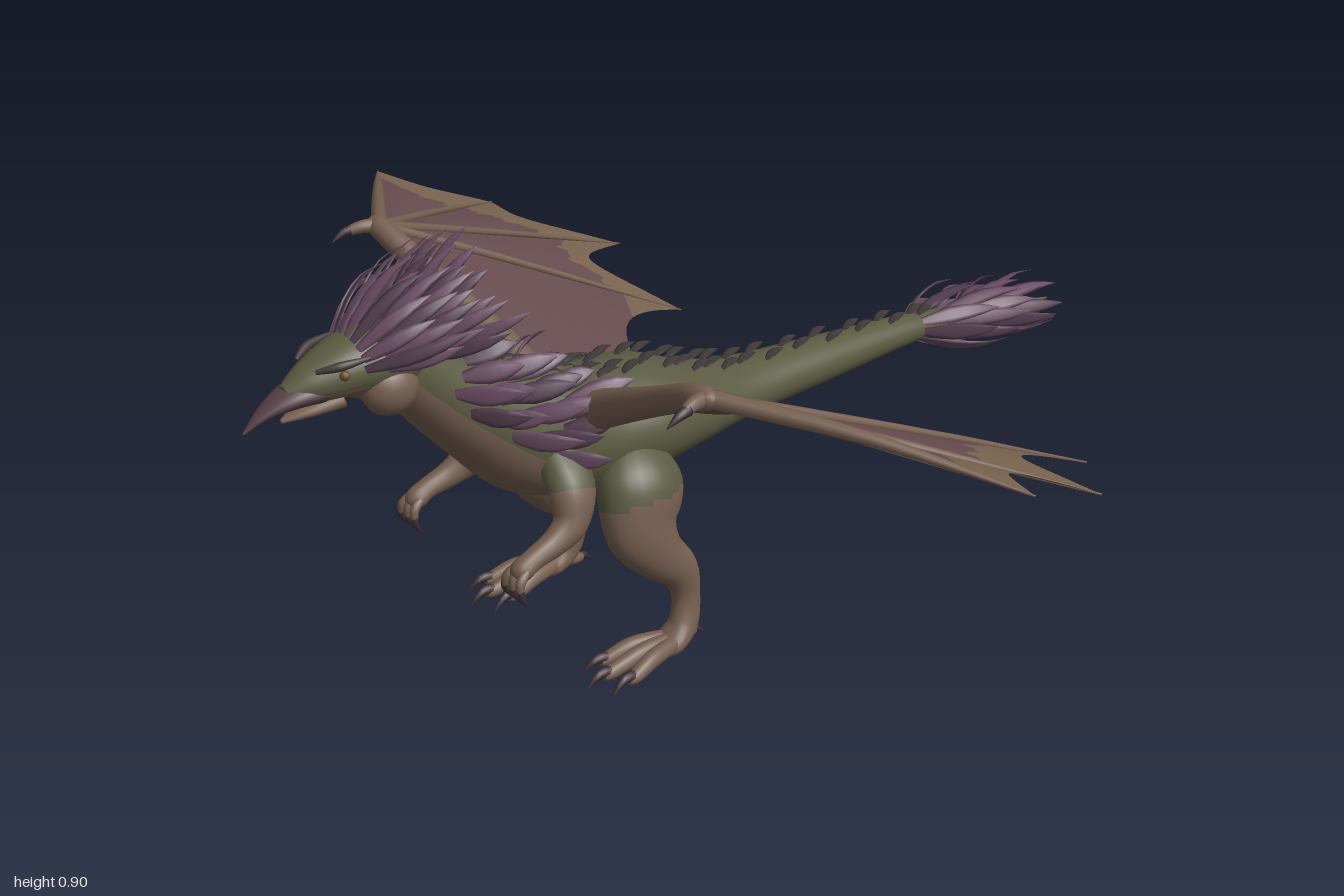
import * as THREE from 'three';
import { mergeGeometries } from 'three/addons/utils/BufferGeometryUtils.js';

const V = (x, y, z) => new THREE.Vector3(x, y, z);
const X = V(1, 0, 0), Z = V(0, 0, 1);
const mat = (name, color, side = THREE.FrontSide) => {
  const m = new THREE.MeshStandardMaterial({ color, side });
  m.name = name;
  return m;
};

// Smooth sample of a station list [x, y, z, halfWidth, halfDepth]
function sample(st, u) {
  const n = st.length - 1, f = Math.min(Math.max(u, 0), 1) * n;
  const i = Math.min(Math.floor(f), n - 1), t = f - i;
  const [p, q, r, s] = [st[Math.max(i - 1, 0)], st[i], st[i + 1], st[Math.min(i + 2, n)]];
  return q.map((b, k) => b + 0.5 * t * (r[k] - p[k] + t * (2 * p[k] - 5 * b + 4 * r[k] - s[k]
    + t * (3 * (b - r[k]) + s[k] - p[k]))));
}

// Centre, radii and axes of the cross-section at u
function frame(st, u, ref) {
  const s = sample(st, u), a = sample(st, u - 0.01), b = sample(st, u + 0.01);
  const t = V(b[0] - a[0], b[1] - a[1], b[2] - a[2]).normalize();
  const n1 = ref.clone().addScaledVector(t, -ref.dot(t)).normalize();
  return { c: V(s[0], s[1], s[2]), a: Math.max(s[3], 0.0006), b: Math.max(s[4] ?? s[3], 0.0006), t, n1, n2: t.clone().cross(n1) };
}
const onSkin = (f, ang, k = 1) => f.c.clone()
  .addScaledVector(f.n1, f.a * k * Math.cos(ang)).addScaledVector(f.n2, f.b * k * Math.sin(ang));

// Elliptical loft; pick(u, sin) selects the material group of a face
function loft(st, { ref = X, seg = 24, rad = 14, pick } = {}) {
  const pos = [], faces = [[], []];
  for (let i = 0; i <= seg; i++) {
    const f = frame(st, i / seg, ref);
    for (let j = 0; j < rad; j++) pos.push(...onSkin(f, (j / rad) * Math.PI * 2).toArray());
  }
  for (let i = 0; i < seg; i++) for (let j = 0; j < rad; j++) {
    const k = (j + 1) % rad, a = i * rad + j, b = i * rad + k, c = b + rad, d = a + rad;
    const g = pick && pick((i + 0.5) / seg, Math.sin(((j + 0.5) / rad) * Math.PI * 2)) ? 1 : 0;
    faces[g].push(a, b, d, b, c, d);
  }
  for (const [e, flip] of [[0, 1], [seg, 0]]) for (let j = 1; j < rad - 1; j++) {
    const o = e * rad;
    faces[0].push(o, o + j + flip, o + j + 1 - flip);
  }
  const g = new THREE.BufferGeometry();
  g.setAttribute('position', new THREE.Float32BufferAttribute(pos, 3));
  g.setIndex([...faces[0], ...faces[1]]);
  if (pick) {
    g.addGroup(0, faces[0].length, 0);
    g.addGroup(faces[0].length, faces[1].length, 1);
  }
  g.computeVertexNormals();
  return g;
}

// Flat pointed blade for feathers and scales, lying across 'out'
function blade(base, dir, out, len, width, lift = 0.1) {
  const d = dir.clone().normalize();
  const st = [[0, 0, 0.4], [0.35, lift, 1], [0.7, lift, 0.7], [1, 0, 0.02]].map(([k, l, w]) => {
    const p = base.clone().addScaledVector(d, len * k).addScaledVector(out, len * l);
    return [p.x, p.y, p.z, width * w, width * w * 0.18];
  });
  return loft(st, { ref: d.clone().cross(out).normalize(), seg: 6, rad: 6 });
}

// Membrane strip between two edges, over u from u0(v) to u1(v)
function panel(A0, A1, T0, T1, dip, u0, u1) {
  const pos = [], idx = [], N = 20, M = 8;
  for (let i = 0; i <= N; i++) for (let j = 0; j <= M; j++) {
    const v = i / N, u = THREE.MathUtils.lerp(u0(v), u1(v), j / M) * (1 - dip * Math.sin(Math.PI * v));
    const p = A0.clone().lerp(A1, v).lerp(T0.clone().lerp(T1, v), u);
    p.y += 0.015 * Math.sin(Math.PI * v) * u;
    pos.push(p.x, p.y, p.z);
    if (i < N && j < M) {
      const a = i * (M + 1) + j, b = a + M + 1;
      idx.push(a, a + 1, b, b, a + 1, b + 1);
    }
  }
  const g = new THREE.BufferGeometry();
  g.setAttribute('position', new THREE.Float32BufferAttribute(pos, 3));
  g.setIndex(idx);
  g.computeVertexNormals();
  return g;
}

export function createModel() {
  const root = new THREE.Group();
  root.name = 'wingedCreature';
  const green = mat('oliveHide', 0x5b5a41), brown = mat('brownSkin', 0x765f50);
  const plume = mat('purpleFeather', 0x694c62), darkPlume = mat('darkFeather', 0x533d4e);
  const web = mat('wingMembrane', 0x674b4f, THREE.DoubleSide), rim = mat('wingRim', 0x79634f, THREE.DoubleSide);
  const horn = mat('darkClaw', 0x3e2e33), beakMat = mat('beak', 0x574045);
  const scaleMat = mat('spineScale', 0x423b3b), eyeMat = mat('eye', 0x6a5030);
  const add = (name, geo, material) => {
    const m = new THREE.Mesh(geo, material);
    m.name = name;
    root.add(m);
  };

  // Neck, trunk and tail in one sweep
  const body = [
    [0, .73, .74, .06, .06], [0, .64, .65, .075, .077], [0, .55, .55, .095, .097], [0, .475, .44, .118, .125],
    [0, .435, .32, .13, .118], [0, .43, .2, .143, .108], [0, .41, .08, .115, .08], [0, .395, -.06, .08, .058],
    [0, .385, -.3, .055, .046], [0, .375, -.57, .035, .03], [0, .345, -.8, .018, .018], [0, .32, -1, .002, .002]];
  add('body', loft(body, { seg: 110, rad: 48, pick: (u, s) => s > 0.3 + Math.max(0, u - 0.26) * 2.6 }), [green, brown]);

  // Head and beak
  add('head', loft([[0, .69, .92, .018, .016], [0, .7, .87, .044, .036], [0, .71, .8, .065, .054], [0, .71, .73, .074, .064],
    [0, .705, .67, .06, .06], [0, .69, .62, .01, .01]], { seg: 40, rad: 32, pick: (u, s) => s > 0.4 }), [green, brown]);
  add('upperBeak', loft([[0, .688, .86, .043, .024], [0, .686, .91, .036, .02], [0, .67, .96, .018, .01], [0, .645, 1, .002, .002]]), beakMat);
  add('lowerJaw', loft([[0, .665, .83, .045, .022], [0, .655, .885, .028, .013], [0, .645, .93, .004, .004]]), brown);

  const claws = [], feathers = [[], []], scales = [];
  for (const s of [1, -1]) {
    const side = s > 0 ? 'left' : 'right';
    const part = (name, st, material, o) => add(side + name, loft(st.map(p => [p[0] * s, ...p.slice(1)]), o), material);
    const claw = (...st) => claws.push(loft(st.map(p => [p[0] * s, ...p.slice(1)]), { seg: 8, rad: 8 }));

    // Cheek, eye and brow
    const cheek = new THREE.SphereGeometry(0.05, 20, 14).scale(0.85, 1, 1.05).translate(s * .042, .667, .745);
    add(side + 'Cheek', cheek, brown);
    add(side + 'Eye', new THREE.SphereGeometry(0.009, 12, 8).translate(s * .055, .72, .835), eyeMat);
    part('Brow', [[.032, .73, .875, .004], [.054, .738, .84, .008], [.064, .742, .79, .003]], scaleMat);

    // Hind leg
    part('HindLeg', [[.08, .42, .26, .03, .05], [.125, .355, .28, .066, .09], [.153, .28, .3, .054, .077], [.167, .22, .275, .043, .054],
      [.173, .165, .228, .033, .04], [.178, .11, .215, .025, .03], [.186, .055, .228, .028, .03], [.19, .027, .265, .034, .022], [.19, .02, .3, .02, .015]],
      [brown, green], { seg: 64, rad: 24, pick: (u, k) => u < 0.17 + 0.04 * k });
    for (const [dx, tip] of [[-.04, .4], [0, .425], [.04, .4]]) {
      const x = .19 + dx;
      part('Toe', [[.19 + dx * .3, .03, .26, .016], [.19 + dx * .75, .032, .33, .017], [x, .02, tip - .02, .014], [x, .018, tip, .008]], brown);
      claw([x, .022, tip - .02, .011], [x + dx * .08, .026, tip + .01, .009], [x + dx * .2, .004, tip + .04, .001]);
    }
    part('HeelToe', [[.185, .03, .25, .016], [.18, .022, .21, .012], [.18, .022, .195, .008]], brown);
    claw([.18, .022, .205, .009], [.18, .022, .19, .007], [.18, .005, .17, .001]);

    // Fore limb with three fingers
    part('Arm', [[.08, .46, .44, .035, .04], [.135, .41, .445, .038, .048], [.16, .355, .465, .032, .036], [.167, .33, .505, .025, .026],
      [.17, .315, .555, .021, .02], [.17, .3, .585, .022, .02], [.17, .29, .595, .01, .01]], [brown, green], { seg: 36, pick: u => u < 0.2 });
    for (const dx of [-.02, 0, .02]) {
      part('Finger', [[.17 + dx * .7, .305, .58, .009], [.17 + dx, .29, .6, .009], [.17 + dx * 1.2, .27, .603, .007]], brown, { seg: 8, rad: 8 });
      claw([.17 + dx * 1.2, .277, .603, .007], [.17 + dx * 1.3, .262, .602, .006], [.17 + dx * 1.3, .24, .59, .001]);
    }

    // Wing arm, finger bones and thumb
    part('WingArm', [[.07, .5, .37, .045], [.15, .545, .37, .036], [.32, .633, .4, .027], [.45, .7, .428, .024], [.5, .715, .43, .02], [.515, .715, .425, .006]],
      brown, { ref: Z });
    part('Thumb', [[.49, .715, .42, .016], [.5, .718, .46, .013], [.507, .714, .485, .01]], brown);
    claw([.506, .715, .478, .011], [.51, .711, .5, .008], [.51, .697, .525, .001]);
    const P = (x, y, z) => V(x * s, y, z);
    const W = P(.49, .715, .43);
    const tips = [P(.955, .63, .15), P(.89, .515, -.1), P(.69, .42, -.31), P(.39, .375, -.245)];
    tips.forEach((T, i) => {
      const m = W.clone().lerp(T, 0.5), r = i ? 0.011 : 0.017;
      m.y += i ? 0.004 : 0.014;
      add(side + 'WingFinger', loft([[...W, r], [...m, r * .7], [...T, .002]], { ref: V(.3, 0, 1), seg: 14, rad: 8 }), brown);
    });

    // Membrane with a paler ragged rim
    const zero = () => 0, one = () => 1;
    const jag = v => 0.022 * Math.sin(v * 19) + 0.014 * Math.sin(v * 41);
    const panels = [
      [W, W, tips[0], tips[1], .16, v => .88 - .19 * v + jag(v) * v],
      [W, W, tips[1], tips[2], .2, v => .69 + .02 * v + .13 * Math.sin(Math.PI * v) + jag(v)],
      [W, W, tips[2], tips[3], .24, v => .71 + .08 * v + .14 * Math.sin(Math.PI * v) + jag(v)],
      [W, P(.09, .52, .36), tips[3], P(.125, .43, .09), .17, v => Math.min(1, .79 + .6 * v)]];
    for (const [A0, A1, T0, T1, dip, edge] of panels) {
      add(side + 'WingMembrane', panel(A0, A1, T0, T1, dip, zero, edge), web);
      add(side + 'WingRim', panel(A0, A1, T0, T1, dip, edge, one), rim);
    }

    // Mane on the sides of the neck
    for (let r = 0; r < 6; r++) for (let k = 0; k < 3; k++) {
      const f = frame(body, .1 + r * .032, X), up = (42 + k * 24 + (r % 2) * 10) * Math.PI / 180;
      const ang = s > 0 ? up - Math.PI / 2 : -up - Math.PI / 2;
      const base = onSkin(f, ang, .95), out = base.clone().sub(f.c).normalize();
      const dir = out.clone().multiplyScalar(.5).add(V(0, -.05, -.8));
      feathers[(r + k) % 3 ? 0 : 1].push(blade(base, dir, out, .1 + .012 * ((r * 3 + k) % 4), .02));
    }

    // Paired scales down the spine
    for (let i = 0; i < 23; i++) {
      const f = frame(body, .13 + i * .031 + (s > 0 ? .006 : 0), X), base = onSkin(f, -Math.PI / 2 + s * (.2 + .12 * (i % 2)), .98);
      const out = f.n2.clone().negate();
      scales.push(blade(base, f.t.clone().addScaledVector(out, .3), out, .055 - i * .0004, .0125, .12));
    }
  }

  // Crest fanned over the head
  for (let r = 0; r < 5; r++) for (let k = 0; k < 10; k++) {
    const a = (-78 + k * 17 + (r % 2) * 7 - 2) * Math.PI / 180;
    const out = V(Math.sin(a), Math.cos(a), 0);
    const base = V(out.x * .06, .705 + out.y * .052, .805 - r * .032);
    const dir = V(out.x * .39, out.y * .53 + .07, -.75 + .06 * r);
    feathers[(r * 2 + k) % 3 ? 0 : 1].push(blade(base, dir, out, .145 + .014 * ((r * 5 + k * 3) % 4), .014, .12));
  }

  // Tail tuft
  for (let r = 0; r < 4; r++) for (let k = 0; k < 8; k++) {
    const f = frame(body, .815 + r * .027, X), ang = (k + r * .5) / 8 * Math.PI * 2;
    const base = onSkin(f, ang, .85), out = base.clone().sub(f.c).normalize();
    const dir = V(out.x * .42, out.y * .15 - .08, -1);
    feathers[(r + k) % 3 ? 0 : 1].push(blade(base, dir, out, .18 + .014 * ((r + k * 3) % 4), .018, .07));
  }

  add('feathers', mergeGeometries(feathers[0]), plume);
  add('darkFeathers', mergeGeometries(feathers[1]), darkPlume);
  add('spineScales', mergeGeometries(scales), scaleMat);
  add('claws', mergeGeometries(claws), horn);
  return root;
}
